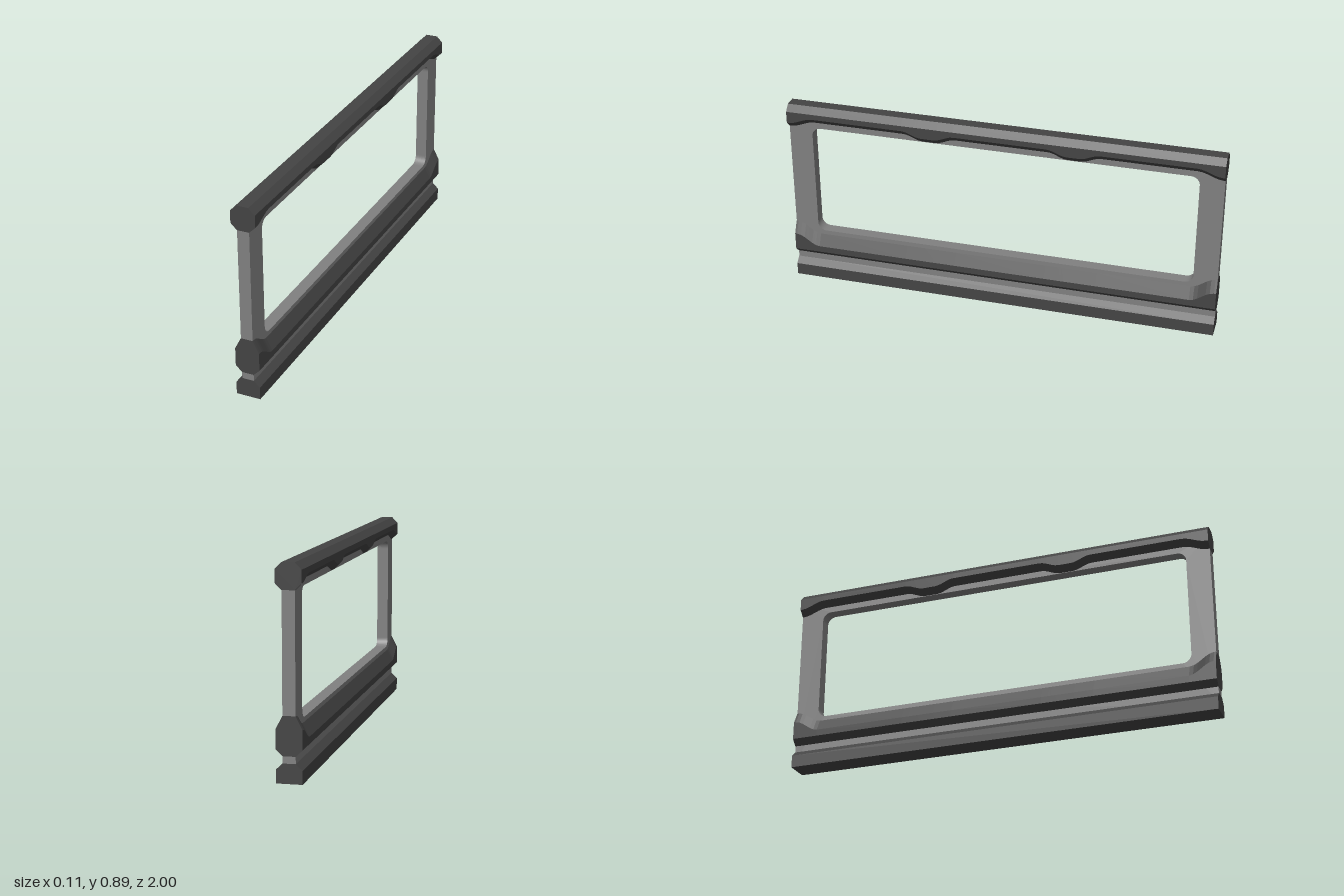
import * as THREE from 'three';

const HALF = 0.055;  // half width of the rails
const CORE = 0.027;  // half thickness of the frame panel
const LEN = 1;       // half length along z

const railMaterial = new THREE.MeshStandardMaterial({ color: 0x444444 });
const panelMaterial = new THREE.MeshStandardMaterial({ color: 0x808080 });

// Joins convex cross-sections, counter-clockwise seen from +z, along rising z
function loft(name, stations, section) {
  const pos = [], index = [];
  const n = section(stations[0]).length;
  stations.forEach((z) => section(z).forEach(([x, y]) => pos.push(x, y, z)));
  for (let s = 0; s < stations.length - 1; s++) {
    for (let i = 0; i < n; i++) {
      const a = s * n + i, b = s * n + (i + 1) % n;
      index.push(a, b, b + n, a, b + n, a + n);
    }
  }
  const last = (stations.length - 1) * n;
  for (let i = 1; i < n - 1; i++) {
    index.push(0, i + 1, i, last, last + i, last + i + 1);
  }
  const indexed = new THREE.BufferGeometry();
  indexed.setAttribute('position', new THREE.Float32BufferAttribute(pos, 3));
  indexed.setIndex(index);
  const geometry = indexed.toNonIndexed();
  geometry.computeVertexNormals();
  const mesh = new THREE.Mesh(geometry, railMaterial);
  mesh.name = name;
  return mesh;
}

// Eight-sided section from the heights of its bottom, lower side, upper side and top
const octagon = (y0, y1, y2, y3) => [
  [-CORE, y0], [CORE, y0], [HALF, y1], [HALF, y2],
  [CORE, y3], [-CORE, y3], [-HALF, y2], [-HALF, y1],
];

// 1 on the flat of a swelling, easing to 0 at its foot
const swell = (distance, flat, foot) =>
  1 - THREE.MathUtils.smoothstep(distance, flat, foot);
const endSwell = (z) => swell(LEN - Math.abs(z), 0.01, 0.12);
const gripSwell = (z) => swell(Math.abs(Math.abs(z) - 0.333), 0.03, 0.12);

// Stations that follow the end and grip swellings
function makeStations() {
  const half = [];
  for (let i = 0; i <= 6; i++) {
    const d = 0.03 + 0.09 * i / 6;
    half.push(0.333 - d, 0.333 + d, LEN - 0.01 - 0.11 * i / 6);
  }
  half.push(LEN);
  return [...half.map((z) => -z), ...half].sort((a, b) => a - b);
}

// Upright frame with a rounded rectangular opening
function makePanel() {
  const w = LEN - 0.001;
  const shape = new THREE.Shape();
  shape.moveTo(-w, 0.04).lineTo(w, 0.04).lineTo(w, 0.85).lineTo(-w, 0.85).closePath();

  const x = 0.89, y0 = 0.245, y1 = 0.782, r = 0.04;
  const hole = new THREE.Path();
  hole.moveTo(-x + r, y0);
  hole.absarc(-x + r, y0 + r, r, -Math.PI / 2, -Math.PI, true);
  hole.absarc(-x + r, y1 - r, r, Math.PI, Math.PI / 2, true);
  hole.absarc(x - r, y1 - r, r, Math.PI / 2, 0, true);
  hole.absarc(x - r, y0 + r, r, 0, -Math.PI / 2, true);
  hole.closePath();
  shape.holes.push(hole);

  const geometry = new THREE.ExtrudeGeometry(shape, {
    depth: 2 * CORE, bevelEnabled: false, curveSegments: 6,
  });
  geometry.translate(0, 0, -CORE);
  geometry.rotateY(Math.PI / 2);
  const mesh = new THREE.Mesh(geometry, panelMaterial);
  mesh.name = 'framePanel';
  return mesh;
}

export function createModel() {
  const group = new THREE.Group();
  group.name = 'railing';
  const stations = makeStations();

  group.add(makePanel());

  // Handrail, deeper at the ends and at two grips
  group.add(loft('handrail', stations, (z) => {
    const drop = Math.max(0.03 * endSwell(z), 0.026 * gripSwell(z));
    return octagon(0.81 - drop, 0.837 - drop, 0.862, 0.89);
  }));

  // Lower rail, rising towards the end posts
  group.add(loft('lowerRail', stations, (z) => {
    const rise = 0.052 * endSwell(z);
    return octagon(0.113, 0.14, 0.17 + rise, 0.225 + rise);
  }));

  // Flat-bottomed base rail
  group.add(loft('baseRail', [-LEN, LEN], () => [
    [-HALF, 0], [HALF, 0], [HALF, 0.057], [CORE, 0.083], [-CORE, 0.083], [-HALF, 0.057],
  ]));

  return group;
}
